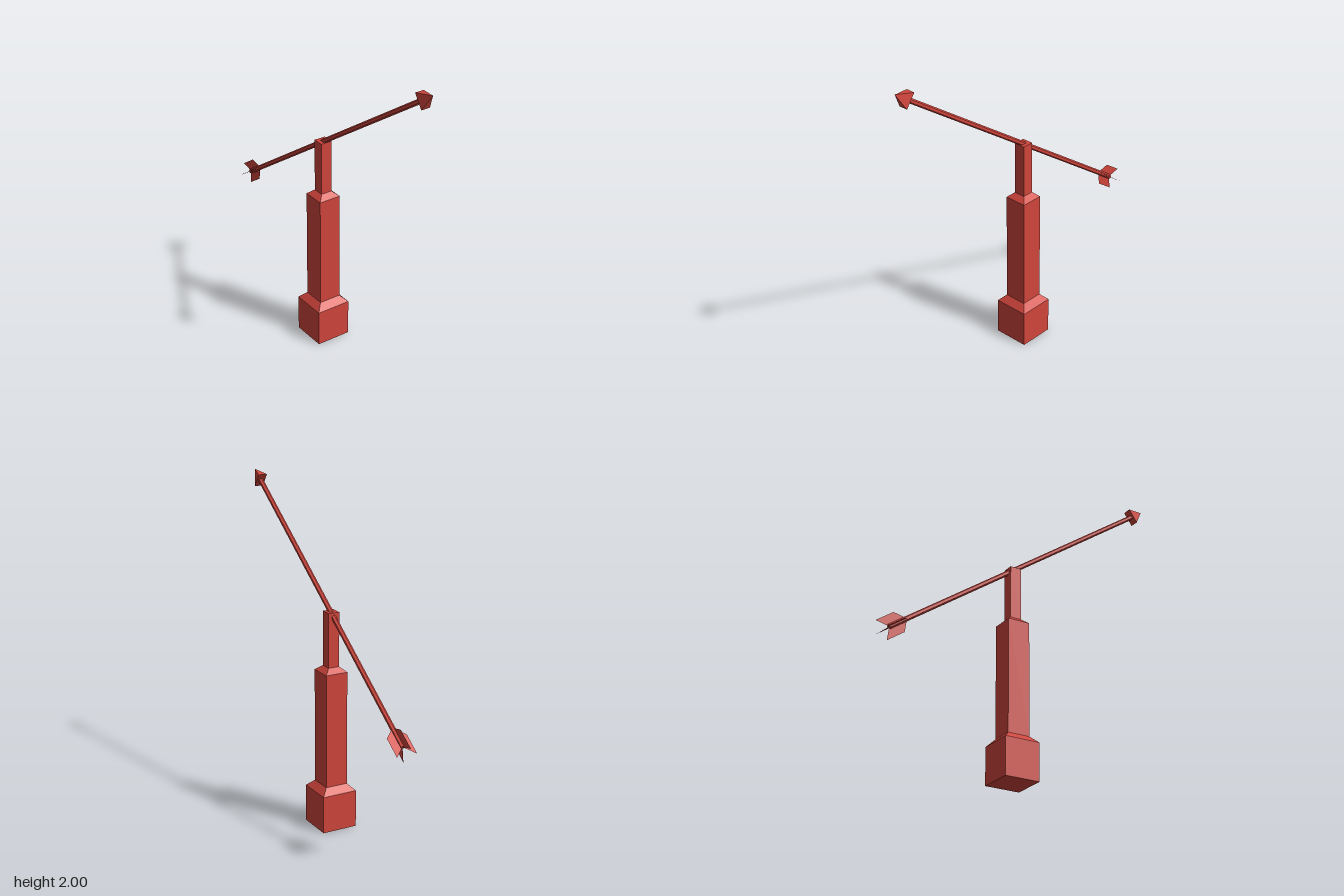
import * as THREE from 'three';

export function createModel() {
  const model = new THREE.Group();
  const red = new THREE.MeshStandardMaterial({ color: 0xd0453c, flatShading: true });
  const redThin = new THREE.MeshStandardMaterial({ color: 0xd0453c, flatShading: true, side: THREE.DoubleSide });

  const add = (parent, name, geometry, material = red) => {
    const mesh = new THREE.Mesh(geometry, material);
    mesh.name = name;
    parent.add(mesh);
    return mesh;
  };

  // Stepped square post: [half width, height] from the ground up
  const steps = [[0, 0], [0.11, 0], [0.11, 0.23], [0.07, 0.27], [0.07, 0.97], [0.035, 1.0], [0.035, 1.33], [0, 1.33]];
  const profile = steps.map(([half, y]) => new THREE.Vector2(half * Math.SQRT2, y));
  add(model, 'post', new THREE.LatheGeometry(profile, 4, Math.PI / 4)).position.x = -0.045;

  // Arrow: tip at the group's origin, pointing along local +x
  const arrow = new THREE.Group();
  arrow.name = 'arrow';
  arrow.position.set(0.92, 2.0, 0);
  arrow.rotation.z = THREE.MathUtils.degToRad(35);
  model.add(arrow);

  // Hexagonal shaft
  const tail = 2.15, neck = 0.09;
  const shaft = new THREE.CylinderGeometry(0.015, 0.015, tail - neck, 6)
    .rotateY(Math.PI / 6).rotateZ(-Math.PI / 2);
  add(arrow, 'shaft', shaft).position.x = -(tail + neck) / 2;

  // Flattened four-sided head
  const head = new THREE.ConeGeometry(Math.SQRT2, 0.1, 4)
    .rotateY(Math.PI / 4).scale(0.048, 1, 0.028).rotateZ(-Math.PI / 2);
  add(arrow, 'arrowHead', head).position.x = -0.05;

  // Four thin swept fins around the tail
  const fin = new THREE.ShapeGeometry(new THREE.Shape([
    new THREE.Vector2(-2.016, 0),
    new THREE.Vector2(-2.075, 0.064),
    new THREE.Vector2(-2.206, 0.064),
    new THREE.Vector2(-2.147, 0),
  ]));
  for (let i = 0; i < 4; i++) {
    add(arrow, 'fin' + (i + 1), fin, redThin).rotation.x = i * Math.PI / 2;
  }

  return model;
}
